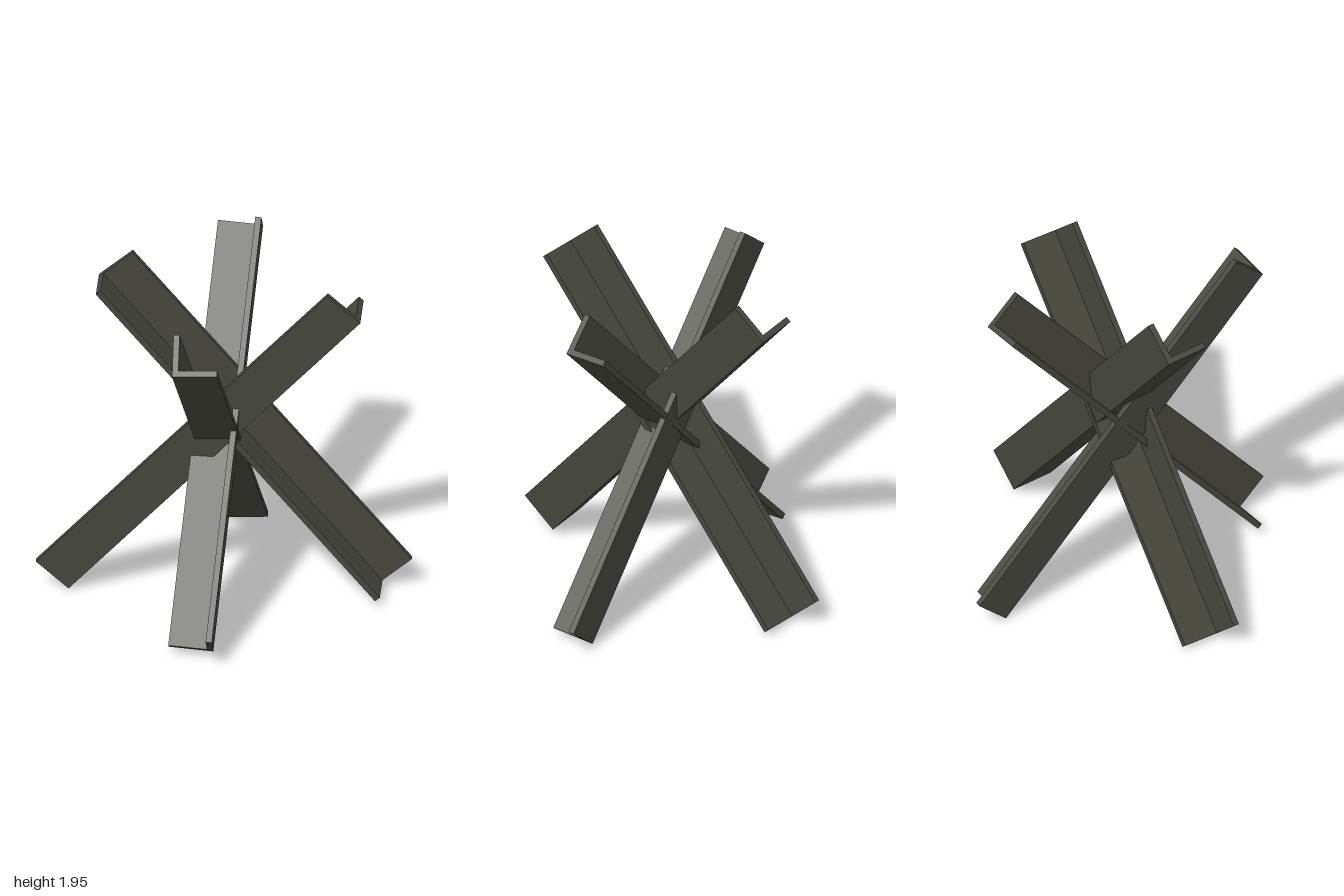
import * as THREE from 'three';

const WIDTH = 0.236; // flange width
const THICK = 0.033; // plate thickness

// L-shaped cross-section: x runs up the side flange, y points outward
function angleProfile() {
  return new THREE.Shape([
    [0, 0], [0, -0.24], [THICK, -0.24], [THICK, -THICK], [WIDTH, -THICK], [WIDTH, 0],
  ].map(([x, y]) => new THREE.Vector2(x, y)));
}

// Angle-iron beam whose outer lower corner runs from one point to another
function beam(name, from, to, minorAxis, material) {
  const start = new THREE.Vector3(...from);
  const along = new THREE.Vector3(...to).sub(start);
  const length = along.length();
  along.normalize();

  // side flange stays square to the beam within its main vertical plane
  const flat = along.clone();
  flat[minorAxis] = 0;
  flat.normalize();
  const side = new THREE.Vector3(0, 1, 0).addScaledVector(flat, -flat.y).normalize();
  const outward = along.clone().cross(side).normalize();

  const geometry = new THREE.ExtrudeGeometry(angleProfile(), { depth: length, bevelEnabled: false });
  geometry.applyMatrix4(new THREE.Matrix4().makeBasis(side, outward, along).setPosition(start));
  const mesh = new THREE.Mesh(geometry, material);
  mesh.name = name;
  return mesh;
}

export function createModel() {
  const group = new THREE.Group();
  group.name = 'antiVehicleObstacle';
  const steel = new THREE.MeshStandardMaterial({ color: 0x45463c });
  steel.name = 'dark olive steel';

  group.add(
    // pair crossing from side to side
    beam('beamRisingLeft', [-0.822, 0.008, 0.064], [0.735, 1.71, 0.16], 'z', steel),
    beam('beamRisingRight', [0.82, 0.025, -0.066], [-0.67, 1.8, -0.157], 'z', steel),
    // pair crossing from front to back
    beam('beamRisingFront', [-0.038, 0.004, -0.765], [-0.238, 1.71, 0.795], 'x', steel),
    beam('beamRisingBack', [-0.02, 0.03, 0.76], [0.177, 1.8, -0.725], 'x', steel),
  );
  return group;
}
